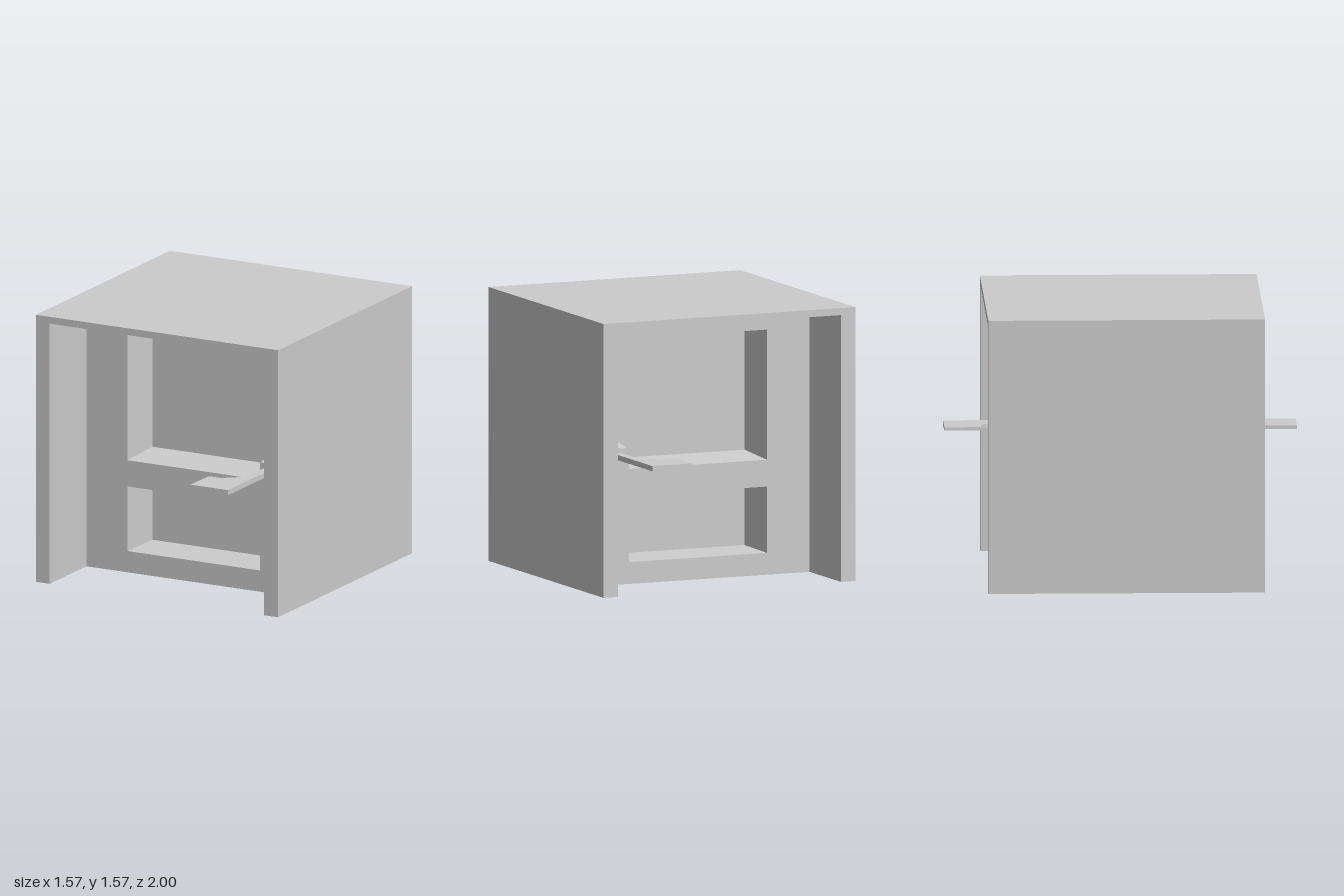
import * as THREE from 'three';

const grey = new THREE.MeshStandardMaterial({ color: 0xcccccc });
grey.name = 'plain grey';

const DOOR_W = 1.39, DOOR_H = 1.53;
const FACE_Z = 0.355, PANEL_Z = 0.125; // door surface and sunken panel surface

// sunken panels: centre height, half sizes and bevel insets
const PANELS = [
  { y: 1.032, hx: 0.43, hy: 0.373, ix: 0.035, iy: 0.029 },
  { y: 0.315, hx: 0.43, hy: 0.19, ix: 0.035, iy: 0.016 },
];

function polygon(points, Type = THREE.Shape) {
  return new Type(points.map(([x, y]) => new THREE.Vector2(x, y)));
}

function rect(x0, y0, x1, y1, Type) {
  return polygon([[x0, y0], [x1, y0], [x1, y1], [x0, y1]], Type);
}

function part(name, geometry, parent) {
  const mesh = new THREE.Mesh(geometry, grey);
  mesh.name = name;
  parent.add(mesh);
  return mesh;
}

// apply a rule to every vertex, then refresh the normals
function reshape(geometry, rule) {
  const pos = geometry.attributes.position;
  const v = new THREE.Vector3();
  for (let i = 0; i < pos.count; i++) {
    v.fromBufferAttribute(pos, i);
    rule(v);
    pos.setXYZ(i, v.x, v.y, v.z);
  }
  geometry.computeVertexNormals();
  return geometry;
}

// door skin with two openings whose walls slope inwards
function doorSkin() {
  const shape = rect(-DOOR_W / 2, 0, DOOR_W / 2, DOOR_H);
  for (const p of PANELS) {
    shape.holes.push(rect(-p.hx, p.y - p.hy, p.hx, p.y + p.hy, THREE.Path));
  }
  const depth = FACE_Z - PANEL_Z;
  const geometry = new THREE.ExtrudeGeometry(shape, { depth, bevelEnabled: false });
  reshape(geometry, (v) => {
    if (v.z > depth / 2 || Math.abs(v.x) > 0.6) return;
    const p = v.y > 0.58 ? PANELS[0] : PANELS[1];
    v.x -= Math.sign(v.x) * p.ix;
    v.y -= Math.sign(v.y - p.y) * p.iy;
  });
  return geometry.translate(0, 0, PANEL_Z);
}

// bevelled plate behind the lever
function handlePlate(side) {
  const geometry = new THREE.BoxGeometry(0.13, 0.19, 0.125);
  reshape(geometry, (v) => {
    if (v.z > 0) {
      v.x -= Math.sign(v.x) * 0.015;
      v.y -= Math.sign(v.y) * 0.015;
    }
  });
  return geometry.translate(0.555 * side, 0.72, FACE_Z + 0.0625);
}

// flat lever: stem out of the plate, then a wide arm that thins at its tip
function lever(side) {
  const outline = [[0.53, 0.44], [0.58, 0.44], [0.58, 1], [0.335, 1], [0.34, 0.79], [0.42, 0.79], [0.53, 0.7]];
  const shape = polygon(outline.map(([x, z]) => [x * side, -z]));
  const geometry = new THREE.ExtrudeGeometry(shape, { depth: 0.03, bevelEnabled: false });
  geometry.rotateX(-Math.PI / 2);
  return reshape(geometry.translate(0, 0.742, 0), (v) => {
    if (v.y < 0.75) v.y += 0.012 * (0.58 - Math.abs(v.x)) / 0.245;
  });
}

export function createModel() {
  const model = new THREE.Group();
  model.name = 'door';

  // deep frame around the opening
  const w = DOOR_W / 2;
  const frameShape = polygon([
    [-0.785, 0], [-w, 0], [-w, DOOR_H], [w, DOOR_H],
    [w, 0], [0.785, 0], [0.785, 1.57], [-0.785, 1.57],
  ]);
  const frame = new THREE.ExtrudeGeometry(frameShape, { depth: 1.57, bevelEnabled: false });
  part('frame', frame.translate(0, 0, -0.785), model);

  // core carries the sunken panel surfaces
  const core = new THREE.BoxGeometry(DOOR_W, DOOR_H, PANEL_Z * 2);
  part('doorCore', core.translate(0, DOOR_H / 2, 0), model);

  // both faces of the door; the back one is turned round with its handle swapped over
  for (const side of [1, -1]) {
    const face = new THREE.Group();
    face.name = side > 0 ? 'frontFace' : 'backFace';
    face.rotation.y = side > 0 ? 0 : Math.PI;
    part('doorPanelling', doorSkin(), face);
    part('handlePlate', handlePlate(side), face);
    part('handleLever', lever(side), face);
    model.add(face);
  }
  return model;
}
